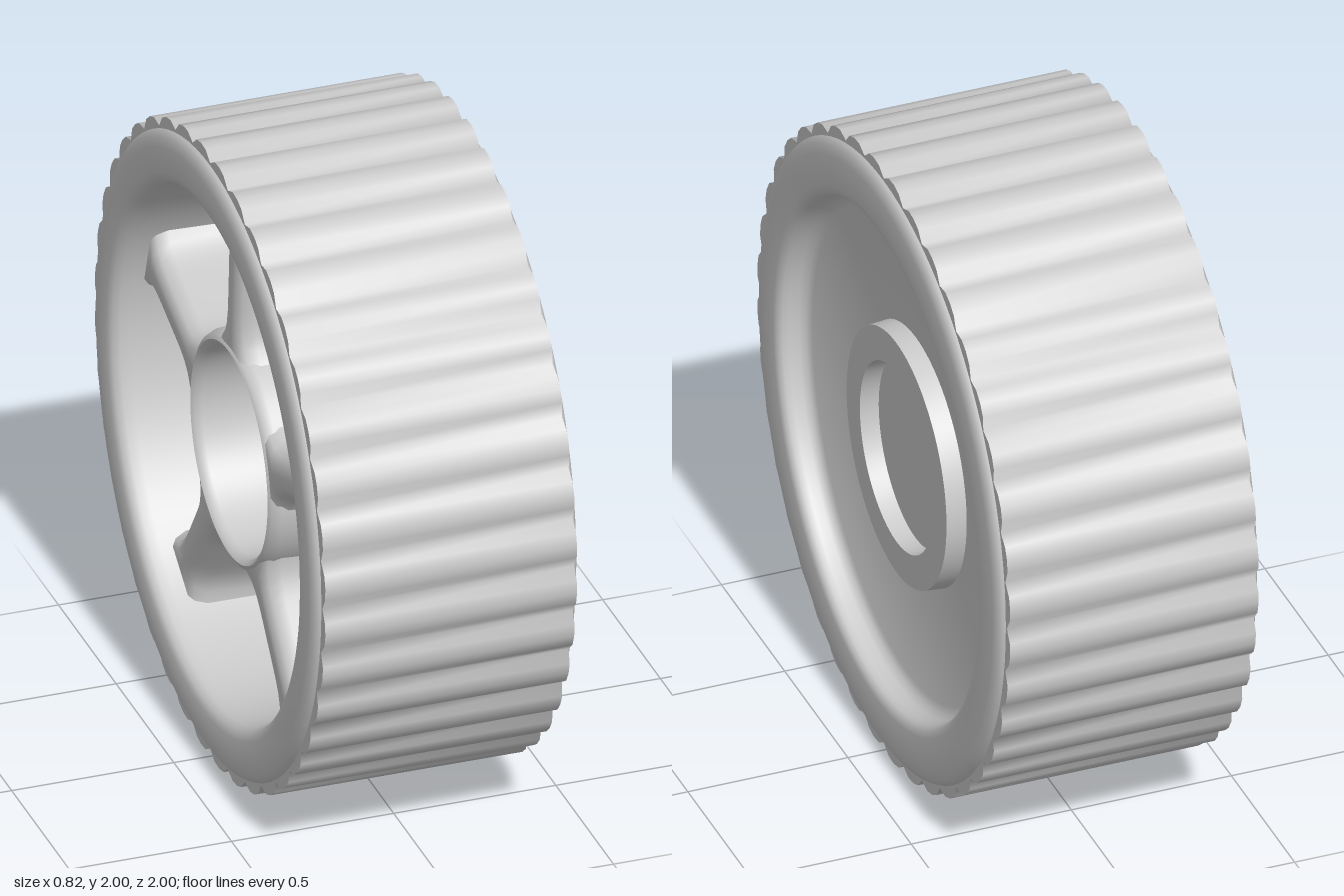
import * as THREE from 'three';
import { toCreasedNormals } from 'three/addons/utils/BufferGeometryUtils.js';

const material = new THREE.MeshStandardMaterial({ color: 0xcccccc });

function part(name, geometry, crease) {
  const mesh = new THREE.Mesh(toCreasedNormals(geometry, crease), material);
  mesh.name = name;
  return mesh;
}

// Rim, web and hub: one closed profile of [radius, x] turned round the axle
function makeBody() {
  const profile = [
    [0, 0.2], [0.315, 0.2], [0.315, -0.3], [0.321, -0.32], [0.335, -0.33], // bore
    [0.35, -0.322], [0.362, -0.295], [0.39, 0.12], [0.405, 0.17], [0.44, 0.2], // hub wall
    [0.72, 0.2], [0.755, 0.17], [0.77, 0.12], // pocket
    [0.797, -0.35], [0.803, -0.38], [0.815, -0.4], [0.84, -0.41], // open side lip
    [0.915, -0.41], [0.945, -0.405], [0.962, -0.394], [0.971, -0.375],
    [0.971, 0.375], [0.962, 0.394], [0.945, 0.405], [0.915, 0.41], // closed side lip
    [0.82, 0.41], [0.8, 0.405], [0.789, 0.393], [0.785, 0.375],
    [0.78, 0.345], [0.769, 0.326], [0.745, 0.316], // fillet into the dished face
    [0.4, 0.287], [0.395, 0.348], [0.29, 0.348], [0.288, 0.29], [0, 0.29], // hub ring
  ].map(([r, x]) => new THREE.Vector2(r, x));
  const geometry = new THREE.LatheGeometry(profile, 96);
  geometry.rotateZ(-Math.PI / 2);
  return part('wheelBody', geometry, 0.75);
}

// Ribbed tread band: shallow lobes repeated round the rim
function makeTread() {
  const lobes = 40;
  const halfWidth = 0.388;
  const lobe = [[0, 0.973], [0.25, 0.997], [0.5, 1.002], [0.75, 0.997]];
  const points = [];
  for (let i = 0; i < lobes; i++) {
    for (const [t, r] of lobe) {
      const a = ((i + t) / lobes) * Math.PI * 2;
      points.push(new THREE.Vector2(Math.cos(a) * r, Math.sin(a) * r));
    }
  }
  const shape = new THREE.Shape(points);
  shape.holes.push(new THREE.Path().absarc(0, 0, 0.91, 0, Math.PI * 2, true));
  const geometry = new THREE.ExtrudeGeometry(shape, {
    depth: halfWidth * 2, bevelEnabled: false, curveSegments: 48,
  });
  geometry.translate(0, 0, -halfWidth);
  geometry.rotateY(Math.PI / 2);
  return part('tread', geometry, 1.3);
}

// Spoke: a rib with a rounded crest, drafted sides and a flare at hub and rim
function makeSpoke(angle) {
  const inner = 0.34, outer = 0.79;
  const section = [[0, 0.06], [0.015, 0.11], [0.05, 0.15], [0.42, 0.21], [0.54, 0.3]]; // [depth, width]
  const geometry = new THREE.BoxGeometry(1, 1, 1, section.length - 1, 12, 2);
  const p = geometry.attributes.position;
  for (let i = 0; i < p.count; i++) {
    const along = p.getY(i) + 0.5;
    const [depth, width] = section[Math.round((p.getX(i) + 0.5) * (section.length - 1))];
    const flare = 0.1 * Math.pow(Math.abs(along * 2 - 1), 5);
    p.setXYZ(i, -0.325 + 0.01 * along + depth,
      inner + (outer - inner) * along, p.getZ(i) * (width + flare));
  }
  geometry.rotateX(angle);
  return part('spoke', geometry, 1.1);
}

export function createModel() {
  const wheel = new THREE.Group();
  wheel.name = 'wheel';
  wheel.add(makeBody(), makeTread());

  const spokes = new THREE.Group();
  spokes.name = 'spokes';
  for (let i = 0; i < 5; i++) spokes.add(makeSpoke((i / 5) * Math.PI * 2));
  wheel.add(spokes);

  wheel.position.y = 1;
  const model = new THREE.Group();
  model.name = 'model';
  model.add(wheel);
  return model;
}
